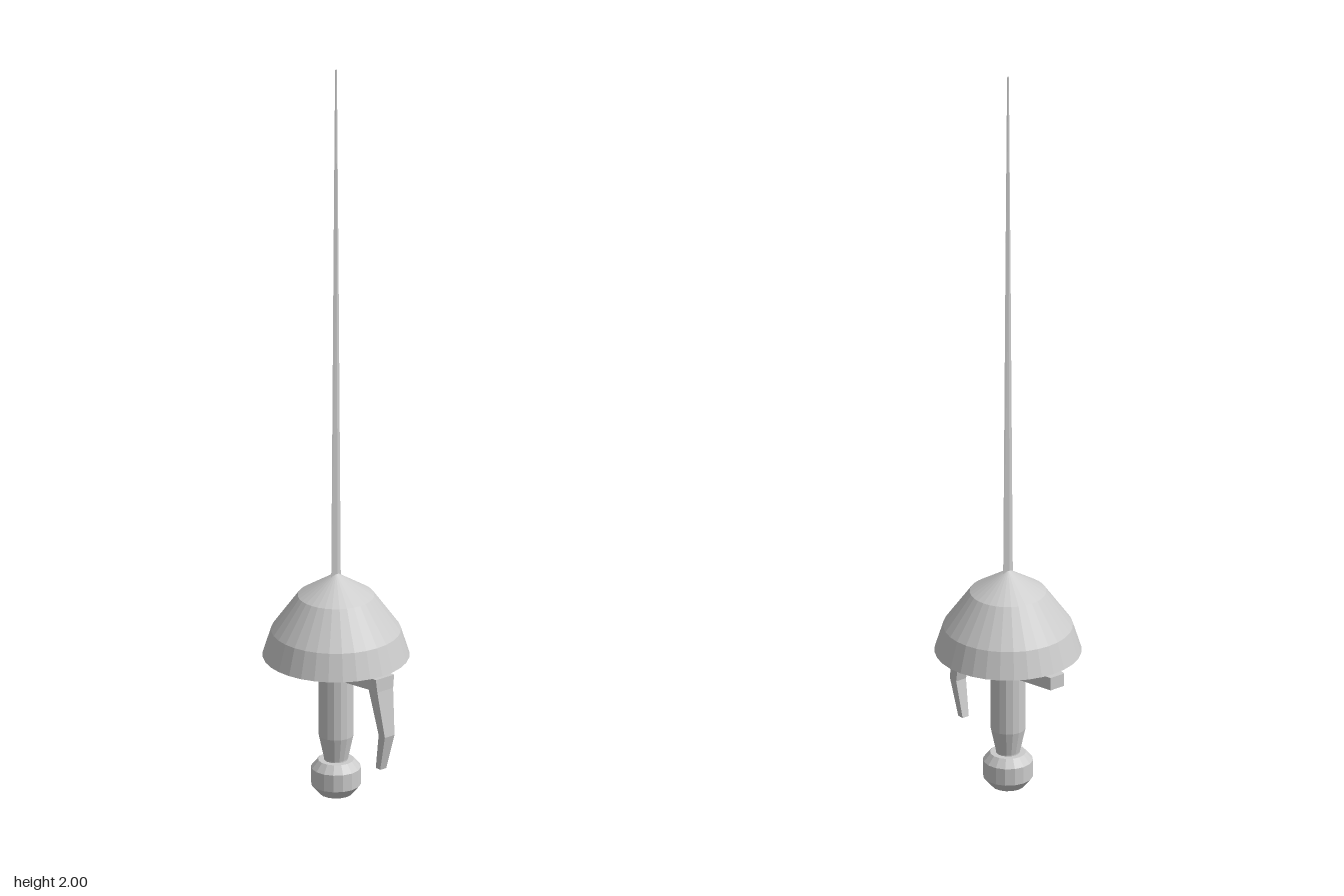
import * as THREE from 'three';

const AXIS_X = -0.008; // line through blade, cup and grip

const material = new THREE.MeshStandardMaterial({
  color: 0xcccccc, flatShading: true, side: THREE.DoubleSide,
});

function add(group, name, geometry, x = 0) {
  const mesh = new THREE.Mesh(geometry, material);
  mesh.name = name;
  mesh.position.x = x;
  group.add(mesh);
}

function turned(profile, segments) {
  return new THREE.LatheGeometry(profile.map(([r, y]) => new THREE.Vector2(r, y)), segments);
}

// Skin a row of four-cornered cross-sections and cap both ends
function loft(rings) {
  const index = [];
  for (let r = 0; r < rings.length - 1; r++) {
    for (let i = 0; i < 4; i++) {
      const a = r * 4 + i, b = r * 4 + (i + 1) % 4;
      index.push(a, b, b + 4, a, b + 4, a + 4);
    }
  }
  const e = (rings.length - 1) * 4;
  index.push(0, 2, 1, 0, 3, 2, e, e + 1, e + 2, e, e + 2, e + 3);
  const geometry = new THREE.BufferGeometry();
  geometry.setAttribute('position', new THREE.Float32BufferAttribute(rings.flat(2), 3));
  geometry.setIndex(index);
  geometry.computeVertexNormals();
  return geometry;
}

export function createModel() {
  const group = new THREE.Group();
  group.name = 'rapier';

  // Slender diamond-section blade: [height, half thickness, half width]
  add(group, 'blade', loft(
    [[0.57, 0.006, 0.016], [1.5, 0.004, 0.008], [2, 0.002, 0.003]].map(([y, x, z]) =>
      [[0, y, z], [x, y, 0], [0, y, -z], [-x, y, 0]])), AXIS_X);

  // Hollow cup guard
  add(group, 'cupGuard', turned(
    [[0.188, 0.385], [0.166, 0.455], [0.098, 0.55], [0, 0.612]], 32), AXIS_X);

  // Grip, narrowing towards the pommel
  add(group, 'grip', turned(
    [[0, 0.08], [0.031, 0.08], [0.031, 0.1], [0.045, 0.165], [0.045, 0.55], [0, 0.55]], 16), AXIS_X);

  // Pommel
  add(group, 'pommel', turned(
    [[0, 0], [0.042, 0.004], [0.064, 0.03], [0.064, 0.076], [0.046, 0.097], [0, 0.097]], 16), AXIS_X);

  // Crossbar, widest around the grip: [x, half depth]
  const low = 0.35, high = 0.385;
  add(group, 'crossbar', loft(
    [[-0.21, 0.022], [-0.07, 0.055], [0.054, 0.055], [0.185, 0.025]].map(([x, z]) =>
      [[x, low, -z], [x, high, -z], [x, high, z], [x, low, z]])));

  // Bent knuckle guard: [inner x, outer x, y, half depth]
  add(group, 'knuckleGuard', loft(
    [[0.152, 0.19, 0.385, 0.03], [0.155, 0.191, 0.35, 0.026],
      [0.184, 0.209, 0.228, 0.016], [0.165, 0.183, 0.13, 0.01]].map(([xi, xo, y, z]) =>
      [[xo, y, -z], [xo, y, z], [xi, y, z], [xi, y, -z]])));

  return group;
}
